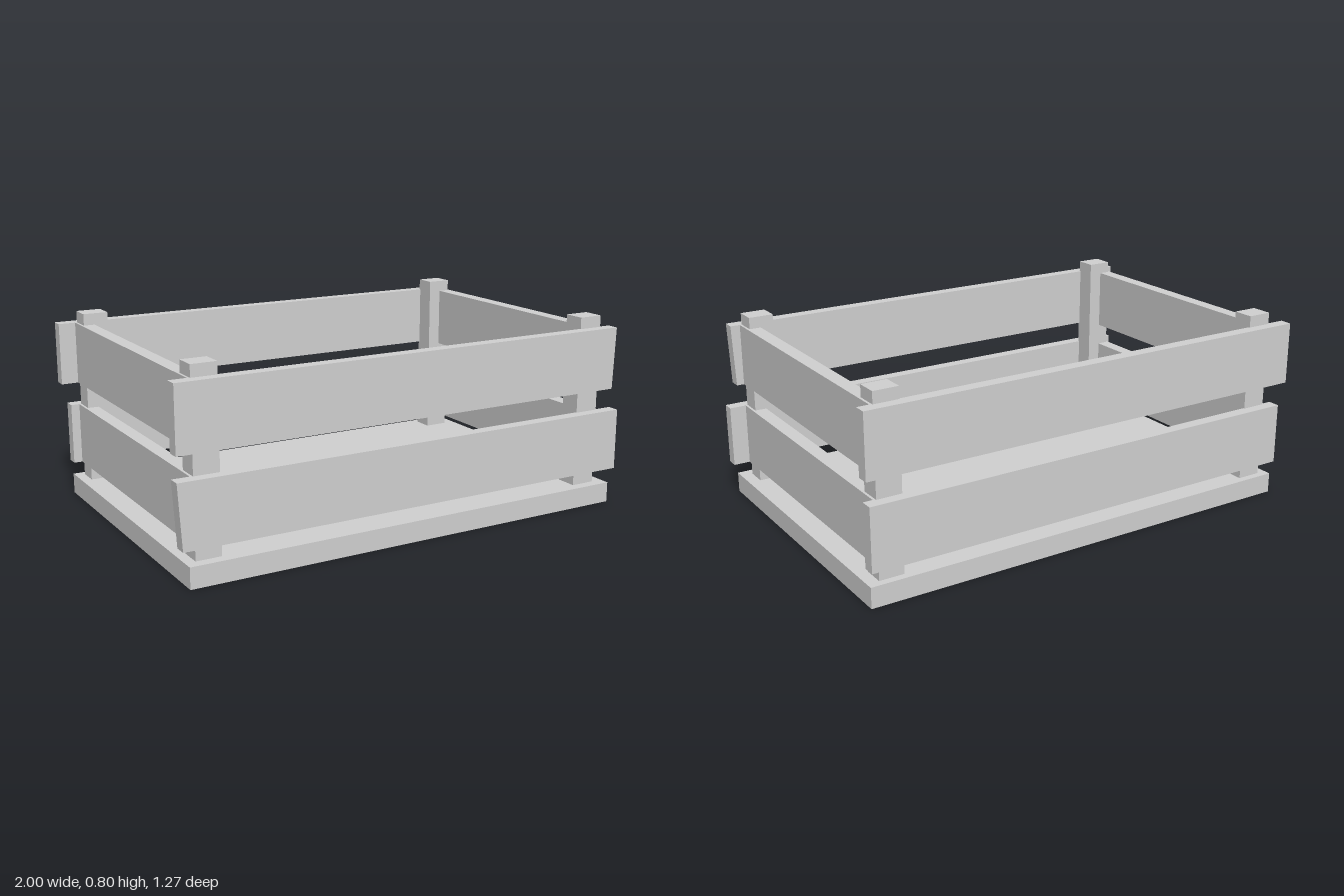
import * as THREE from 'three';

export function createModel() {
  const crate = new THREE.Group();
  crate.name = 'crate';
  const wood = new THREE.MeshStandardMaterial({ color: 0xd2d2d2 });
  wood.name = 'light grey';

  // box given by its limits on each axis
  function box(name, [x0, x1], [y0, y1], [z0, z1]) {
    const mesh = new THREE.Mesh(new THREE.BoxGeometry(x1 - x0, y1 - y0, z1 - z0), wood);
    mesh.position.set((x0 + x1) / 2, (y0 + y1) / 2, (z0 + z1) / 2);
    mesh.name = name;
    crate.add(mesh);
  }

  // long slat with slightly skewed sawn ends
  function slat(name, [topLeft, topRight], [bottomLeft, bottomRight], [y0, y1], [z0, z1]) {
    const outline = new THREE.Shape([
      new THREE.Vector2(bottomLeft, y0),
      new THREE.Vector2(bottomRight, y0),
      new THREE.Vector2(topRight, y1),
      new THREE.Vector2(topLeft, y1),
    ]);
    const geometry = new THREE.ExtrudeGeometry(outline, { depth: z1 - z0, bevelEnabled: false });
    const mesh = new THREE.Mesh(geometry, wood);
    mesh.position.z = z0;
    mesh.name = name;
    crate.add(mesh);
  }

  const lower = [0.145, 0.402];
  const upper = [0.497, 0.756];
  const front = [0.586, 0.637];
  const back = [-0.637, -0.586];

  // floor
  box('floor', [-0.96, 0.97], [0, 0.085], [-0.622, 0.635]);

  // corner posts
  for (const [side, x] of [['left', [0.817, 0.921]], ['right', [-0.919, -0.815]]]) {
    box(side + 'FrontPost', x, [0.08, 0.804], [0.503, 0.592]);
    box(side + 'BackPost', x, [0.08, 0.804], [-0.592, -0.503]);
  }

  // short side slats, let into the posts
  for (const [side, x] of [['left', [0.873, 0.931]], ['right', [-0.929, -0.873]]]) {
    box(side + 'LowerSlat', x, lower, [-0.586, 0.586]);
    box(side + 'UpperSlat', x, upper, [-0.586, 0.586]);
  }

  // long front and back slats
  slat('frontUpperSlat', [-1, 0.972], [-1, 0.962], upper, front);
  slat('frontLowerSlat', [-1, 1], [-0.984, 1], lower, front);
  box('backUpperSlat', [-1, 0.98], upper, back);
  box('backLowerSlat', [-0.965, 0.97], lower, back);

  return crate;
}
